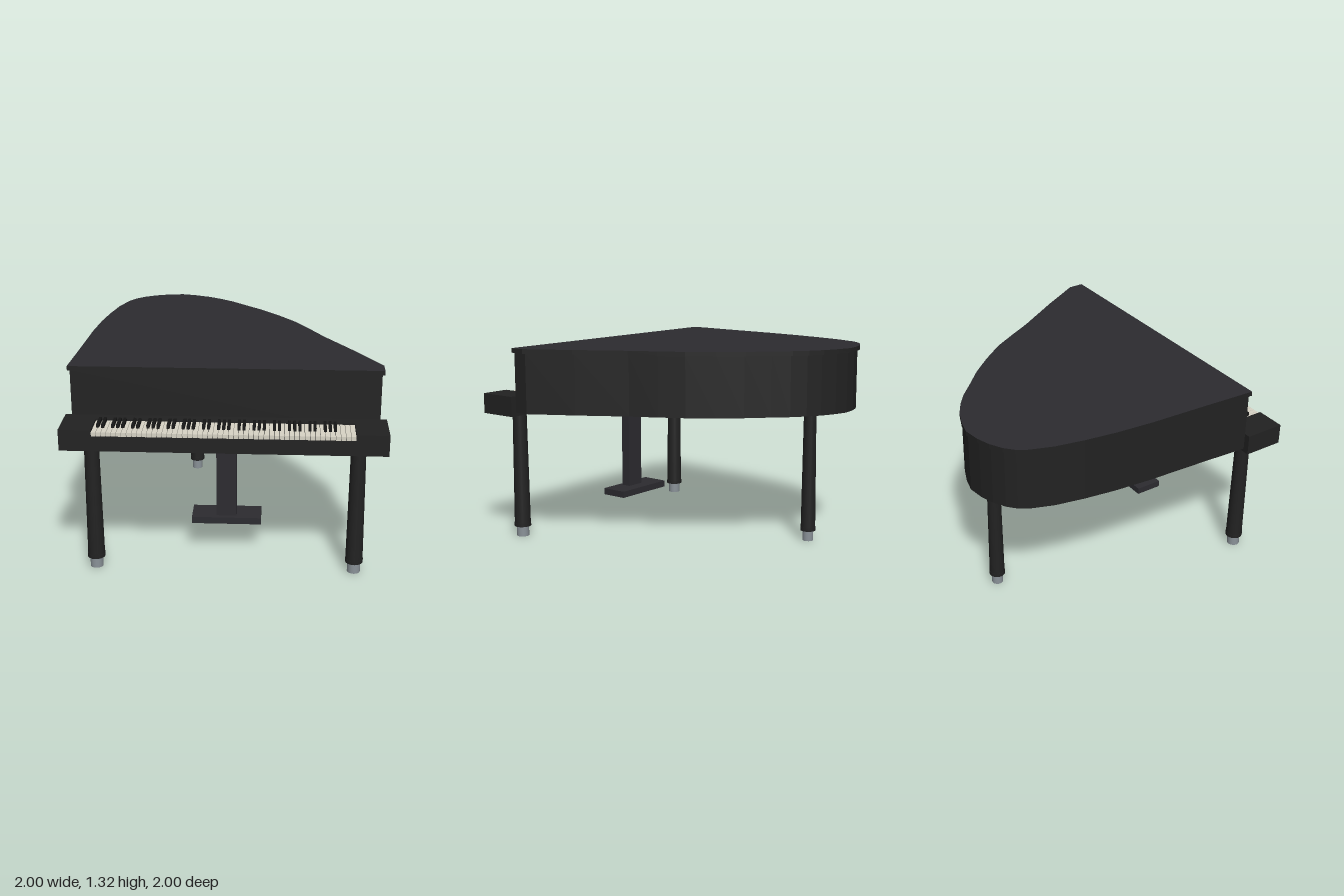
import * as THREE from 'three';

const paint = (color) => new THREE.MeshStandardMaterial({ color });
const black = paint(0x222222);
const charcoal = paint(0x2c2b30);
const ebony = paint(0x161616);
const ivory = paint(0xd8d4c6);
const metal = paint(0x8a9298);

// Case outline seen from above, as x, z pairs: straight side, round tail, bent side
const OUTLINE = [
  [-0.975, 0.742], [-0.955, 0.4], [-0.935, 0], [-0.912, -0.25], [-0.88, -0.46], [-0.84, -0.65],
  [-0.785, -0.8], [-0.745, -0.86], [-0.69, -0.91], [-0.61, -0.955], [-0.52, -0.985], [-0.41, -1],
  [-0.31, -0.975], [-0.2, -0.93], [-0.11, -0.875], [-0.02, -0.805], [0.07, -0.715], [0.2, -0.59],
  [0.32, -0.45], [0.44, -0.29], [0.53, -0.13], [0.62, 0.04], [0.81, 0.35], [0.975, 0.64], [0.975, 0.742],
];

export function createModel() {
  const model = new THREE.Group();
  model.name = 'grandPiano';

  const add = (name, geometry, material, parent = model) => {
    const mesh = new THREE.Mesh(geometry, material);
    mesh.name = name;
    parent.add(mesh);
    return mesh;
  };

  // Box given by its low and high corners
  const box = (name, [x0, y0, z0], [x1, y1, z1], material, parent) =>
    add(name, new THREE.BoxGeometry(x1 - x0, y1 - y0, z1 - z0), material, parent)
      .position.set((x0 + x1) / 2, (y0 + y1) / 2, (z0 + z1) / 2);

  // Flat slab with the case outline, between two heights
  const slab = (name, y0, y1, scale, material) => {
    const shape = new THREE.Shape(OUTLINE.map(([x, z]) => new THREE.Vector2(x * scale, -z * scale)));
    const geometry = new THREE.ExtrudeGeometry(shape, { depth: y1 - y0, bevelEnabled: false });
    geometry.rotateX(-Math.PI / 2);
    add(name, geometry, material).position.y = y0;
  };
  slab('case', 0.89, 1.29, 0.985, black);
  slab('lid', 1.29, 1.32, 1, [charcoal, black]);

  // Keybed, end blocks and the rail behind the keys
  box('keybed', [-1, 0.865, 0.732], [1, 0.963, 1], black);
  box('keyRail', [-0.8, 0.963, 0.732], [0.8, 1, 0.8], black);
  for (const side of [-1, 1]) {
    const name = side > 0 ? 'leftEndBlock' : 'rightEndBlock';
    box(name, [side > 0 ? 0.8 : -1, 0.963, 0.732], [side > 0 ? 1 : -0.8, 1, 1], black);
  }

  // Keyboard: 52 white keys, black keys in groups of two and three over seven octaves
  const keyboard = new THREE.Group();
  keyboard.name = 'keyboard';
  model.add(keyboard);
  const pitch = 1.6 / 52;
  for (let i = 0; i < 52; i++) {
    const x = -0.8 + i * pitch;
    box('whiteKey', [x + 0.0015, 0.963, 0.8], [x + pitch - 0.0015, 0.988, 1], ivory, keyboard);
    const edge = x + pitch;
    if (i < 49 && ![2, 6].includes(i % 7)) {
      box('blackKey', [edge - 0.009, 0.97, 0.8], [edge + 0.009, 1.01, 0.922], ebony, keyboard);
    }
  }

  // Tapered leg with a cuff and a metal foot
  const leg = (name, x, z, top, rTop, rBottom) => {
    const group = new THREE.Group();
    group.name = name;
    group.position.set(x, 0, z);
    model.add(group);
    const part = (label, r1, r0, y0, y1, material) =>
      add(label, new THREE.CylinderGeometry(r1, r0, y1 - y0, 16), material, group)
        .position.y = (y0 + y1) / 2;
    part('legShaft', rTop, rBottom, 0.09, top, black);
    part('legCuff', rBottom + 0.002, rBottom + 0.002, 0.07, 0.095, black);
    part('foot', rBottom - 0.013, rBottom - 0.013, 0, 0.07, metal);
  };
  leg('frontLeftLeg', 0.827, 0.842, 0.87, 0.047, 0.055);
  leg('frontRightLeg', -0.827, 0.842, 0.87, 0.047, 0.055);
  leg('backLeg', -0.297, -0.77, 0.895, 0.042, 0.05);

  // Pedal support
  box('pedalPost', [-0.066, 0.25, 0.53], [0.066, 0.895, 0.596], charcoal);
  box('pedalBase', [-0.226, 0.208, 0.444], [0.226, 0.253, 0.628], charcoal);

  return model;
}
